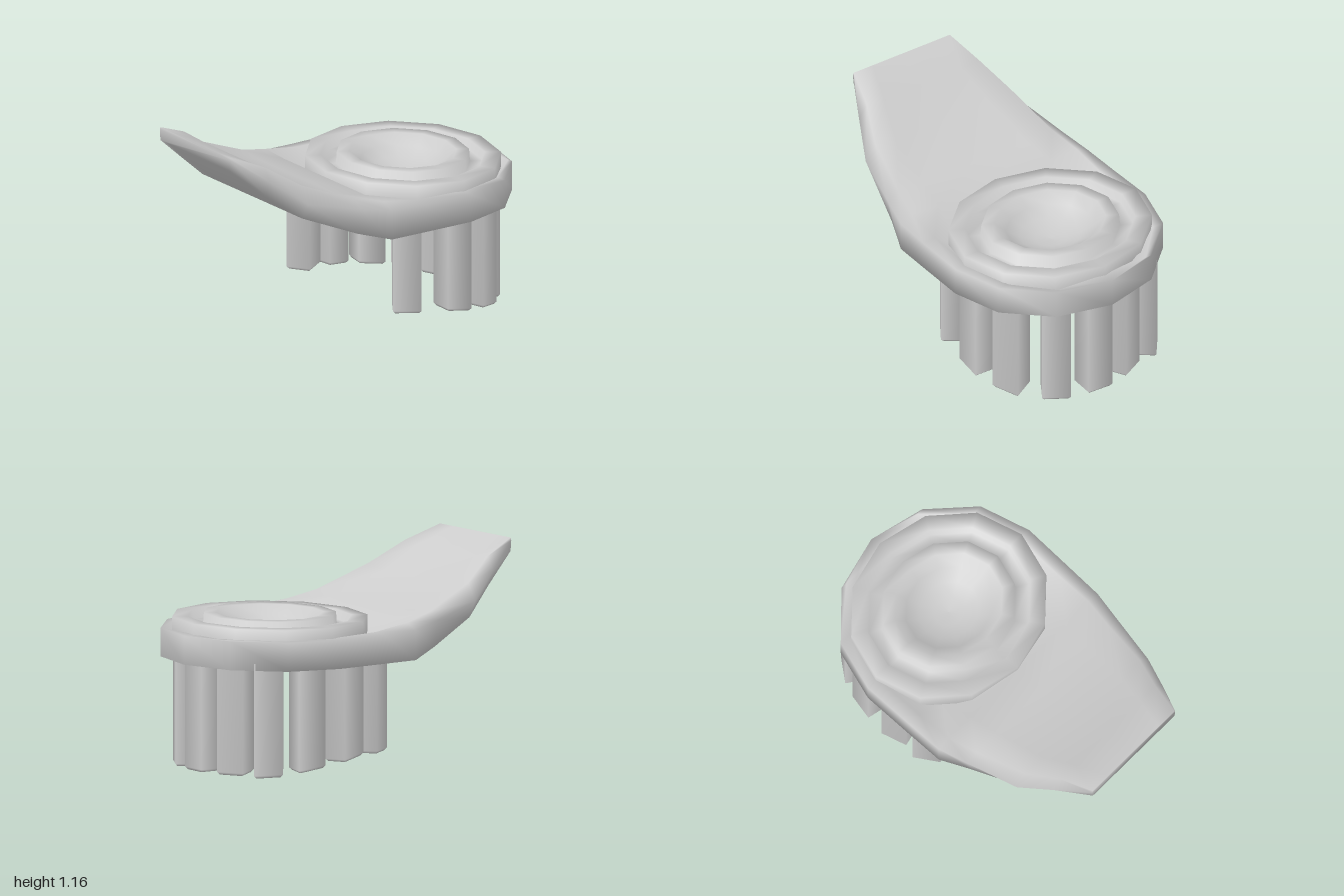
import * as THREE from 'three';
import { mergeVertices } from 'three/addons/utils/BufferGeometryUtils.js';

const material = new THREE.MeshStandardMaterial({ color: 0xcccccc });
const HEAD_X = 0.41;

// Shell lofted along x: [x, halfWidth, edgeY, rimY, innerY, bottomY, bottomFraction]
const stations = [
  [-1.0, 0.33, 1.15, 1.165, 1.165, 1.09, 0.98],
  [-0.8, 0.43, 1.01, 1.085, 1.075, 0.925, 0.9],
  [-0.61, 0.52, 0.87, 0.965, 0.94, 0.775, 0.9],
  [-0.3, 0.59, 0.80, 0.84, 0.825, 0.65, 0.95],
  [-0.12, 0.63, 0.765, 0.80, 0.79, 0.6, 1],
  [0.1, 0.635, 0.76, 0.768, 0.64, 0.6, 1],
  [HEAD_X, 0.64, 0.76, 0.76, 0.64, 0.6, 1],
  [0.70, 0.555, 0.76, 0.76, 0.64, 0.6, 1],
  [0.92, 0.32, 0.76, 0.76, 0.76, 0.6, 1],
  [1.0, 0, 0.76, 0.76, 0.76, 0.6, 1],
];

function section([x, w, edge, rim, inner, bottom, f], i) {
  const r = i === 0 ? 0.98 : 0.88;
  const ring = [
    [1, edge], [r, rim], [0.6, inner], [0, inner], [-0.6, inner], [-r, rim], [-1, edge],
    [-f, bottom], [-0.75 * f, bottom], [0, bottom], [0.75 * f, bottom], [f, bottom],
  ];
  return ring.map(([z, y]) => [x, y, z * w]);
}

function shellGeometry() {
  const rings = stations.map(section);
  const n = rings[0].length;
  const index = [];
  for (let i = 0; i < rings.length - 1; i++) {
    for (let j = 0; j < n; j++) {
      const a = i * n + j, b = i * n + (j + 1) % n;
      index.push(a, a + n, b, b, a + n, b + n);
    }
  }
  // Closed end of the handle
  for (let j = 1; j < n - 1; j++) index.push(0, j, j + 1);
  const geometry = new THREE.BufferGeometry();
  geometry.setAttribute('position', new THREE.Float32BufferAttribute(rings.flat(2), 3));
  geometry.setIndex(index);
  // Weld the nose, where the last section closes to a line
  const welded = mergeVertices(geometry);
  welded.computeVertexNormals();
  return welded;
}

// Stepped rings and bowl turned in one profile
function ringsGeometry() {
  const profile = [
    [0.525, 0.70], [0.525, 0.82], [0.44, 0.82], [0.43, 0.77], [0.36, 0.77],
    [0.355, 0.84], [0.288, 0.84], [0.23, 0.785], [0.16, 0.745], [0.08, 0.72], [0, 0.715],
  ].map(([r, y]) => new THREE.Vector2(r, y));
  return new THREE.LatheGeometry(profile, 12).scale(1, 1, 1.1);
}

// Soft four-sided post at (x, z), facing outwards, with a foot that follows the slope
function postGeometry(x, z) {
  const profile = [[0, 0], [0.42, 0], [0.5, 0.015], [0.5, 0.64]]
    .map(([r, y]) => new THREE.Vector2(r * Math.SQRT2, y));
  const geometry = new THREE.LatheGeometry(profile, 4)
    .rotateY(Math.PI / 4).scale(0.14, 1, 0.158)
    .rotateY(-Math.atan2(z, x - HEAD_X)).translate(x, 0, z);
  const p = geometry.attributes.position;
  for (let i = 0; i < p.count; i++) {
    if (p.getY(i) > 0.1) continue;
    p.setY(i, p.getY(i) + THREE.MathUtils.clamp(0.125 - 0.165 * p.getX(i), 0, 0.095));
  }
  return geometry;
}

// Post centres [x, z], following the rounded end from front to back
const postCentres = [
  [0.115, 0.445], [0.40, 0.48], [0.625, 0.415], [0.80, 0.24], [0.85, 0.02],
  [0.80, -0.205], [0.725, -0.41], [0.525, -0.495], [0.285, -0.515], [0.09, -0.49],
];

export function createModel() {
  const group = new THREE.Group();
  const add = (parent, name, geometry) => {
    const mesh = new THREE.Mesh(geometry, material);
    mesh.name = name;
    parent.add(mesh);
    return mesh;
  };

  add(group, 'handleAndHead', shellGeometry());
  add(group, 'ringsAndBowl', ringsGeometry()).position.x = HEAD_X;

  const posts = new THREE.Group();
  posts.name = 'posts';
  group.add(posts);
  for (const [x, z] of postCentres) add(posts, 'post', postGeometry(x, z));
  return group;
}
